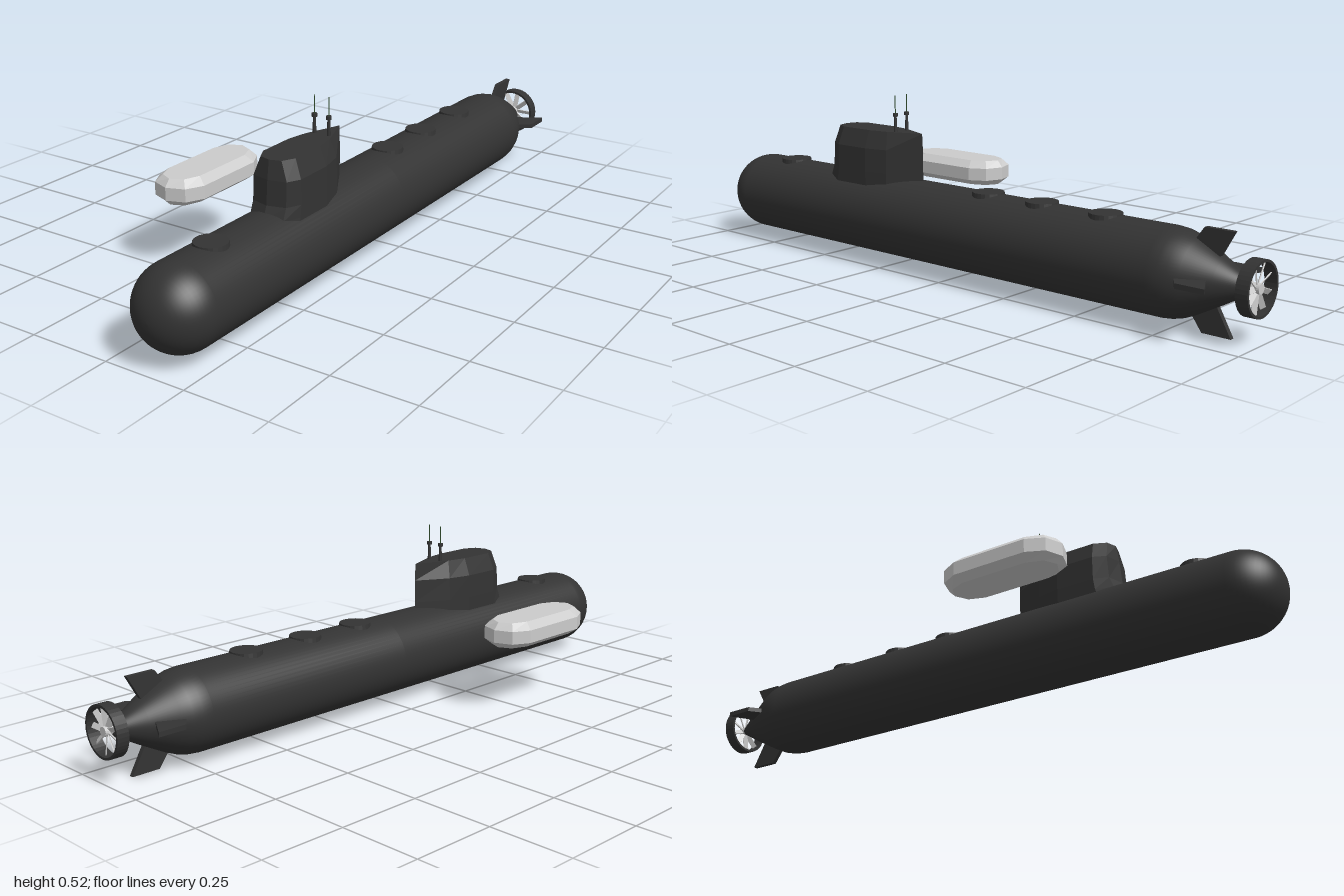
import * as THREE from 'three';

const AX = 0.143, AY = 0.144; // hull axis

const paint = (color, extra = {}) => new THREE.MeshStandardMaterial({ color, ...extra });
const dark = paint(0x333333);
const darkFlat = paint(0x333333, { flatShading: true });
const darkOpen = paint(0x333333, { side: THREE.DoubleSide });
const grey = paint(0xcccccc, { flatShading: true });
const green = paint(0x2f4a2a);

function add(parent, name, geometry, material, x = 0, y = 0, z = 0) {
  const mesh = new THREE.Mesh(geometry, material);
  mesh.name = name;
  mesh.position.set(x, y, z);
  parent.add(mesh);
  return mesh;
}

// Right half of an outline [x, z], front to back, mirrored into a closed loop
function mirrored(half) {
  const inner = half.slice().reverse().filter(([x]) => x > 0);
  return [...half, ...inner.map(([x, z]) => [-x, z])];
}

// Faceted solid from horizontal rings of equal count, closed by fans
function loft(rings, lowY, highY) {
  const pos = [];
  const tri = (...pts) => pts.forEach((p) => pos.push(...p));
  const n = rings[0].length;
  const middle = (ring, y) => [0, y, ring.reduce((s, p) => s + p[2], 0) / n];
  const top = rings[rings.length - 1];
  for (let i = 0; i < n; i++) {
    const j = (i + 1) % n;
    for (let k = 0; k + 1 < rings.length; k++) {
      const a = rings[k], b = rings[k + 1];
      tri(a[i], a[j], b[j]);
      tri(a[i], b[j], b[i]);
    }
    tri(middle(rings[0], lowY), rings[0][j], rings[0][i]);
    tri(middle(top, highY), top[i], top[j]);
  }
  const g = new THREE.BufferGeometry();
  g.setAttribute('position', new THREE.Float32BufferAttribute(pos, 3));
  g.computeVertexNormals();
  return g;
}

function makeHull() {
  const profile = [[0, -0.985], [0.012, -0.975], [0.06, -0.89], [0.1, -0.815],
    [0.112, -0.787], [0.119, -0.76], [0.122, -0.73], [0.122, 0]];
  const pts = profile.map(([r, z]) => new THREE.Vector2(r, z));
  for (let i = 0; i <= 14; i++) {
    const a = (i / 14) * Math.PI / 2;
    pts.push(new THREE.Vector2(0.122 * Math.cos(a), 0.877 + 0.122 * Math.sin(a)));
  }
  return new THREE.LatheGeometry(pts, 64).rotateX(Math.PI / 2);
}

function makeSail() {
  const levels = [
    [0.2, [[0, 0.545], [0.054, 0.53], [0.074, 0.48], [0.074, 0.34], [0.058, 0.265], [0, 0.163]]],
    [0.25, [[0, 0.532], [0.054, 0.516], [0.074, 0.465], [0.074, 0.34], [0.058, 0.265], [0, 0.163]]],
    [0.285, [[0, 0.516], [0.054, 0.502], [0.074, 0.46], [0.074, 0.34], [0.058, 0.265], [0, 0.163]]],
    [0.356, [[0, 0.51], [0.054, 0.498], [0.073, 0.46], [0.073, 0.34], [0.056, 0.265], [0, 0.163]]],
    [0.41, [[0, 0.502], [0.034, 0.492], [0.053, 0.455], [0.053, 0.34], [0.041, 0.275], [0, 0.166]]],
  ];
  return loft(levels.map(([y, half]) => mirrored(half).map(([x, z]) => [x, y, z])), 0.2, 0.41);
}

function makeRaft() {
  const outline = mirrored([[0, 0.187], [0.055, 0.167], [0.0815, 0.115],
    [0.0815, -0.115], [0.055, -0.167], [0, -0.187]]);
  const levels = [[0.205, 0.7, 0.9], [0.223, 1, 1], [0.262, 1, 1], [0.283, 0.7, 0.9]];
  return loft(levels.map(([y, sx, sz]) => outline.map(([x, z]) => [x * sx, y, z * sz])), 0.199, 0.283);
}

// Swept tail fin lying in the x-z plane, tip towards +x
function makeFin() {
  const shape = new THREE.Shape([[0.04, -0.79], [0.095, -0.8], [0.139, -0.832],
    [0.139, -0.918], [0.05, -0.868]].map(([x, y]) => new THREE.Vector2(x, y)));
  return new THREE.ExtrudeGeometry(shape, { depth: 0.014, bevelEnabled: false })
    .translate(0, 0, -0.007).rotateX(Math.PI / 2);
}

function makePropeller() {
  const group = new THREE.Group();
  group.name = 'propeller';
  group.position.set(AX, AY + 0.002, -0.982);
  // Shroud ring with a thin rectangular section
  const ring = [[0.068, -0.018], [0.075, -0.018], [0.075, 0.018], [0.068, 0.018], [0.068, -0.018]];
  const shroud = new THREE.LatheGeometry(ring.map((p) => new THREE.Vector2(...p)), 40)
    .toNonIndexed().rotateX(Math.PI / 2);
  shroud.computeVertexNormals();
  add(group, 'shroud', shroud, darkOpen);
  add(group, 'hub', new THREE.CylinderGeometry(0.014, 0.014, 0.026, 20).rotateX(Math.PI / 2), grey);
  const blade = new THREE.BoxGeometry(0.06, 0.016, 0.003).rotateX(0.6).translate(0.04, 0, 0);
  const count = 9;
  for (let i = 0; i < count; i++) {
    add(group, 'blade', blade, grey).rotation.z = (i / count) * Math.PI * 2;
  }
  return group;
}

export function createModel() {
  const model = new THREE.Group();
  model.name = 'submarine';

  add(model, 'hull', makeHull(), dark, AX, AY, 0);
  add(model, 'sail', makeSail(), darkFlat, AX, 0, 0);

  // Round deck hatches
  const hatch = new THREE.CylinderGeometry(0.047, 0.051, 0.03, 24);
  for (const z of [0.75, -0.1, -0.3, -0.52]) add(model, 'hatch', hatch, darkFlat, AX, 0.255, z);

  // Twin masts with collars and whip aerials
  for (const side of [-1, 1]) {
    const mast = new THREE.Group();
    mast.name = 'mast';
    mast.position.set(AX + side * 0.024, 0, 0.255);
    add(mast, 'mastTube', new THREE.CylinderGeometry(0.004, 0.006, 0.06, 12), dark, 0, 0.43, 0);
    add(mast, 'mastCollar', new THREE.CylinderGeometry(0.008, 0.008, 0.01, 12), dark, 0, 0.462, 0);
    add(mast, 'aerial', new THREE.CylinderGeometry(0.0012, 0.0016, 0.055, 8), green, 0, 0.493, 0);
    model.add(mast);
  }

  // Cross-shaped tail fins
  const fin = makeFin();
  for (let i = 0; i < 4; i++) {
    const y = i % 2 ? 0.14 : 0.153;
    add(model, 'tailFin', fin, darkFlat, AX, y, 0).rotation.z = (i * Math.PI) / 2;
  }

  model.add(makePropeller());

  // Separate bevelled pod beside the hull
  add(model, 'pod', makeRaft(), grey, -0.203, 0, 0.335);

  return model;
}
